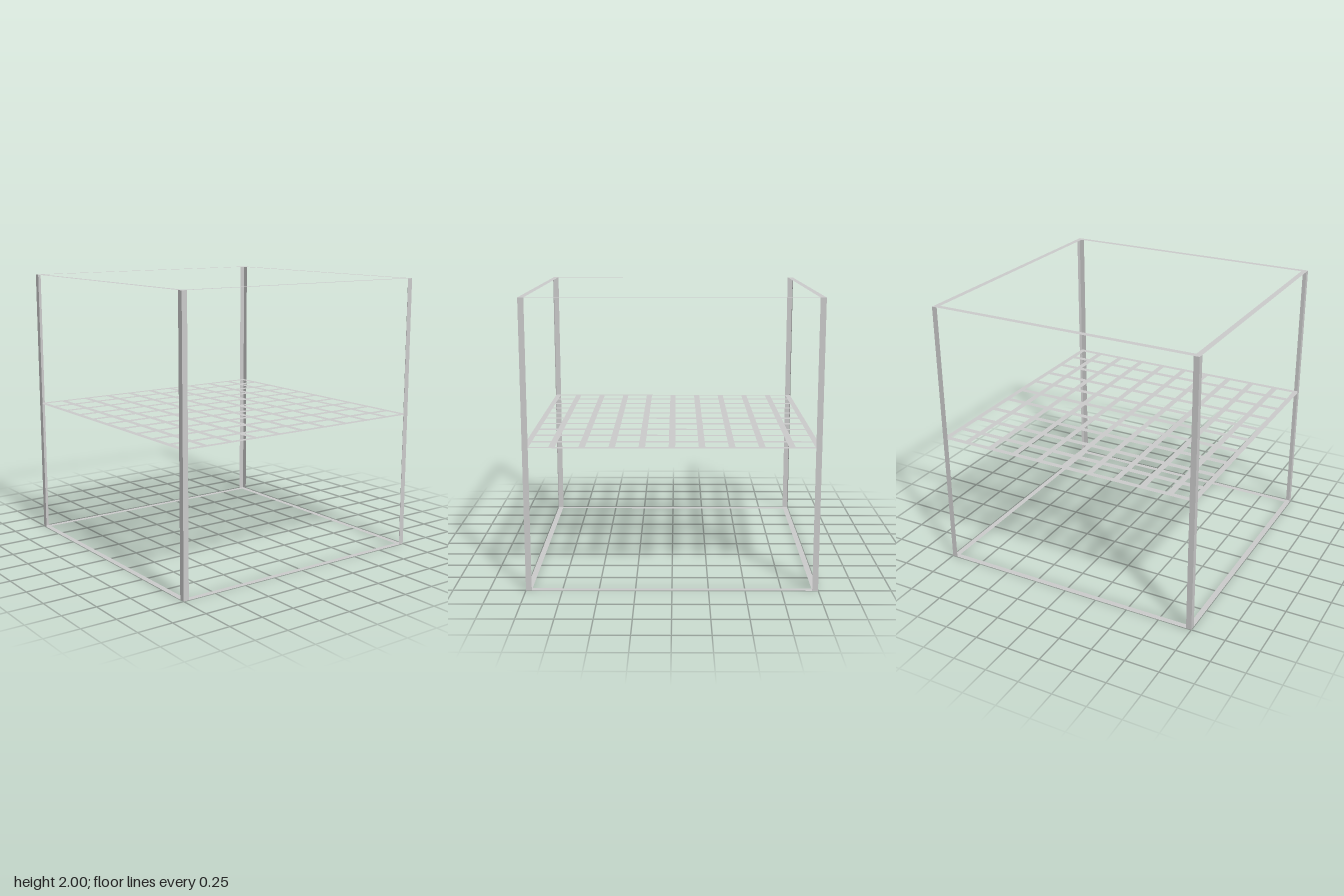
import * as THREE from 'three';

const HALF = 1;        // half the cube's side
const RIM = 0.04;      // width of the flat edge strips
const PITCH = 0.2015;  // spacing of the lattice bars
const BAR = 0.044;     // width of a lattice bar

const material = new THREE.MeshStandardMaterial({ color: 0xcccccc, side: THREE.DoubleSide });

function rectangle(target, x0, y0, x1, y1) {
  target.moveTo(x0, y0).lineTo(x1, y0).lineTo(x1, y1).lineTo(x0, y1).closePath();
  return target;
}

// Openings between the rim and the evenly spaced bars, as [start, end] pairs
function openings(barCount) {
  const list = [];
  let start = -HALF + RIM;
  for (let i = 0; i < barCount; i++) {
    const centre = (i - (barCount - 1) / 2) * PITCH;
    list.push([start, centre - BAR / 2]);
    start = centre + BAR / 2;
  }
  list.push([start, HALF - RIM]);
  return list;
}

// Flat horizontal square sheet with a grid of rectangular holes
function sheet(name, y, barCount) {
  const shape = rectangle(new THREE.Shape(), -HALF, -HALF, HALF, HALF);
  const gaps = openings(barCount);
  for (const [x0, x1] of gaps) {
    for (const [z0, z1] of gaps) {
      shape.holes.push(rectangle(new THREE.Path(), x0, z0, x1, z1));
    }
  }
  const geometry = new THREE.ShapeGeometry(shape).rotateX(-Math.PI / 2);
  const mesh = new THREE.Mesh(geometry, material);
  mesh.name = name;
  mesh.position.y = y;
  return mesh;
}

// Corner post: two thin upright strips meeting in an L
function cornerPost(index) {
  const post = new THREE.Group();
  post.name = 'cornerPost';
  const geometry = new THREE.PlaneGeometry(RIM, 2 * HALF);

  const frontStrip = new THREE.Mesh(geometry, material);
  frontStrip.name = 'postFrontStrip';
  frontStrip.position.set(HALF - RIM / 2, HALF, HALF);

  const sideStrip = new THREE.Mesh(geometry, material);
  sideStrip.name = 'postSideStrip';
  sideStrip.position.set(HALF, HALF, HALF - RIM / 2);
  sideStrip.rotation.y = Math.PI / 2;

  post.add(frontStrip, sideStrip);
  post.rotation.y = index * Math.PI / 2;
  return post;
}

export function createModel() {
  const model = new THREE.Group();
  model.name = 'cubeFrameWithLattice';

  model.add(
    sheet('bottomFrame', 0, 0),
    sheet('middleLattice', HALF, 9),
    sheet('topFrame', 2 * HALF, 0),
  );
  for (let i = 0; i < 4; i++) model.add(cornerPost(i));

  return model;
}
